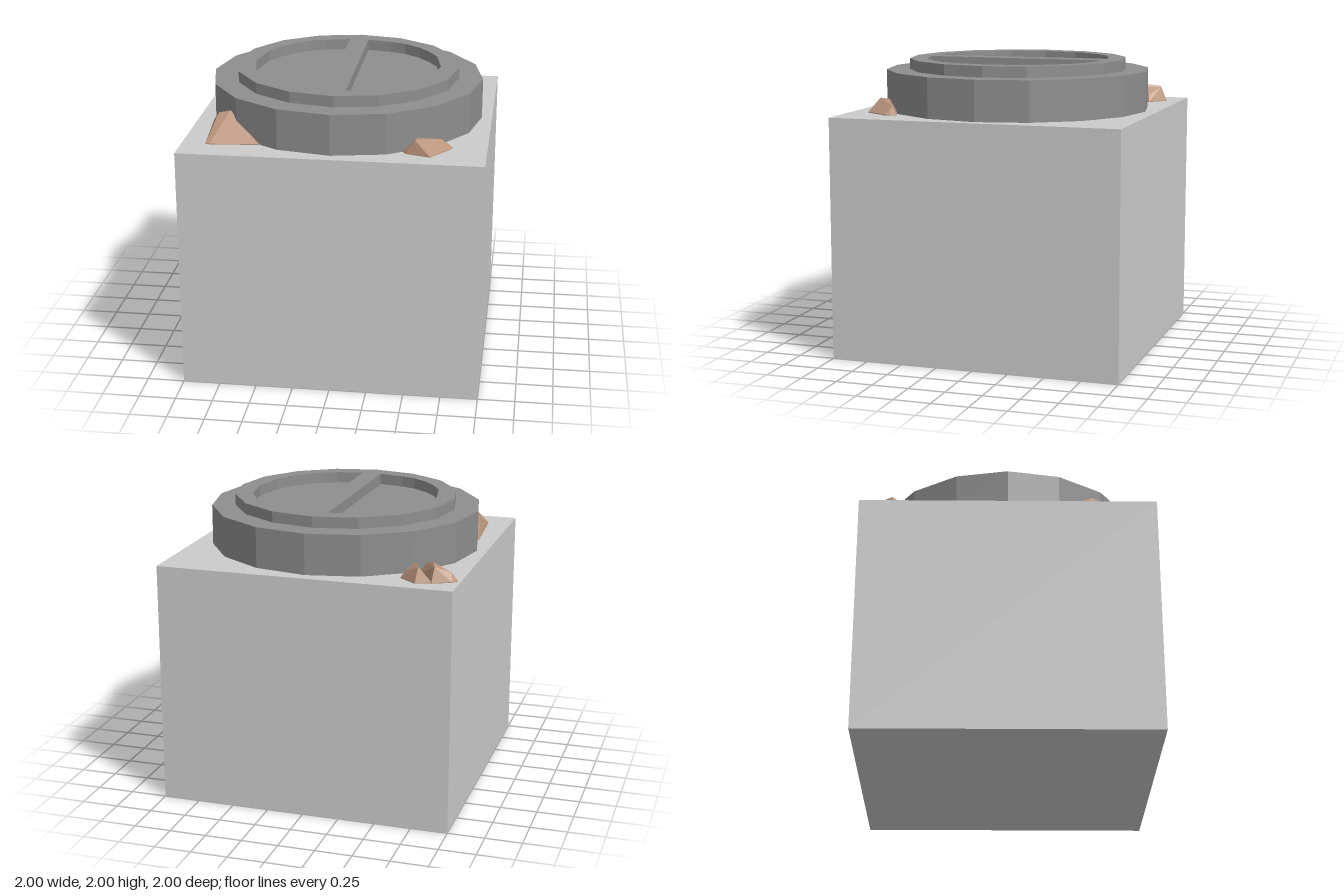
import * as THREE from 'three';
import { ConvexGeometry } from 'three/addons/geometries/ConvexGeometry.js';

const DECK = 1.65, RIM = 1.925, TOP = 2;

const material = (color) => new THREE.MeshStandardMaterial({ color, flatShading: true });

function add(parent, name, geometry, mat) {
  const mesh = new THREE.Mesh(geometry, mat);
  mesh.name = name;
  parent.add(mesh);
  return mesh;
}

// Faceted chunk: base outline [x, z] sunk slightly into the deck, plus raised points [x, y, z]
function rock(base, peaks) {
  const points = base.flatMap(([x, z]) => [
    new THREE.Vector3(x, DECK - 0.04, z),
    new THREE.Vector3(x, DECK + 0.005, z),
  ]);
  peaks.forEach((p) => points.push(new THREE.Vector3(...p)));
  return new ConvexGeometry(points);
}

export function createModel() {
  const model = new THREE.Group();
  model.name = 'capped block';
  const grey = material(0xcccccc);
  const iron = material(0x8e8e8e);
  const stone = material(0xb9937b);

  // Block
  add(model, 'block', new THREE.BoxGeometry(2, DECK, 2).translate(0, DECK / 2, 0), grey);

  // Sixteen-sided drum, whose top is also the floor of the recesses
  const drum = new THREE.CylinderGeometry(0.93, 0.93, RIM - DECK, 16);
  drum.scale(1, 1, 0.987).translate(0, (RIM + DECK) / 2, 0);
  add(model, 'drum', drum, iron);

  // Raised rim with a cross bar, left by two D-shaped recesses
  const rim = new THREE.Shape(Array.from({ length: 16 }, (_, i) => {
    const a = (i / 16) * Math.PI * 2;
    return new THREE.Vector2(0.768 * Math.cos(a), 0.757 * Math.sin(a));
  }));
  const quarter = [[0.067, 0.625], [0.24, 0.59], [0.34, 0.55], [0.45, 0.465], [0.53, 0.365], [0.595, 0.25]];
  const half = [...quarter, [0.64, 0], ...quarter.map(([x, y]) => [x, -y]).reverse()];
  for (const side of [1, -1]) {
    rim.holes.push(new THREE.Path(half.map(([x, y]) => new THREE.Vector2(side * x, y))));
  }
  const rimGeometry = new THREE.ExtrudeGeometry(rim, { depth: TOP - RIM, bevelEnabled: false });
  rimGeometry.rotateX(-Math.PI / 2).translate(0, RIM, 0);
  add(model, 'rimAndCrossBar', rimGeometry, iron);

  // Stones lying around the drum
  const stones = new THREE.Group();
  stones.name = 'stones';
  model.add(stones);

  add(stones, 'largeStone', rock(
    [[-0.88, 0.3], [-0.87, 0.4], [-0.84, 0.79], [-0.81, 0.8], [-0.76, 0.77], [-0.49, 0.77], [-0.5, 0.45]],
    [[-0.83, 1.74, 0.55], [-0.79, 1.8, 0.58], [-0.71, 1.82, 0.59], [-0.66, 1.75, 0.65]],
  ), stone);

  add(stones, 'smallStone', rock(
    [[0.46, 0.78], [0.48, 0.82], [0.64, 0.87], [0.76, 0.7], [0.77, 0.66], [0.75, 0.62], [0.6, 0.67]],
    [[0.54, 1.745, 0.82], [0.55, 1.74, 0.75], [0.7, 1.71, 0.67]],
  ), stone);

  // Split stone: two lumps meeting in a crease
  add(stones, 'splitStoneOuter', rock(
    [[-0.98, -0.77], [-0.95, -0.81], [-0.83, -0.87], [-0.7, -0.68], [-0.75, -0.61], [-0.79, -0.62]],
    [[-0.94, 1.71, -0.78], [-0.84, 1.75, -0.83], [-0.81, 1.76, -0.75], [-0.75, 1.73, -0.68]],
  ), stone);
  add(stones, 'splitStoneInner', rock(
    [[-0.83, -0.86], [-0.73, -0.9], [-0.61, -0.8], [-0.66, -0.68], [-0.72, -0.66]],
    [[-0.74, 1.75, -0.86], [-0.69, 1.75, -0.75], [-0.64, 1.7, -0.79]],
  ), stone);

  return model;
}
